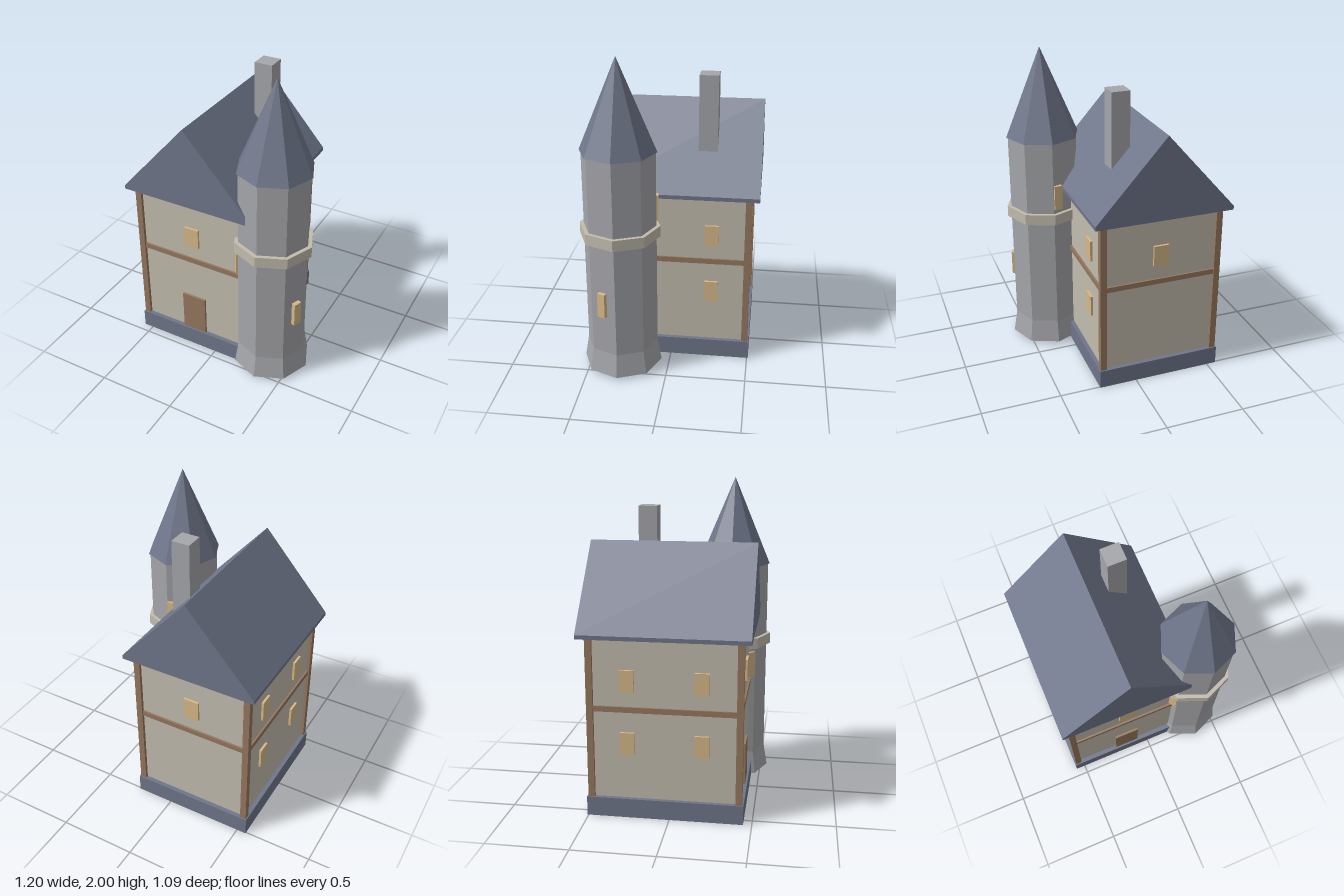
import * as THREE from 'three';

const material = (name, color) => {
  const m = new THREE.MeshStandardMaterial({ color, flatShading: true });
  m.name = name;
  return m;
};

export function createModel() {
  const plaster = material('plaster', 0xc2bcae);
  const slate = material('slate', 0x6f768a);
  const wood = material('wood', 0x96785f);
  const glow = material('windowGlow', 0xd6b888);
  const stone = material('stone', 0xa5a6aa);

  const model = new THREE.Group();
  model.name = 'towerHouse';

  const add = (parent, name, geometry, mat, x = 0, y = 0, z = 0) => {
    const mesh = new THREE.Mesh(geometry, mat);
    mesh.name = name;
    mesh.position.set(x, y, z);
    parent.add(mesh);
    return mesh;
  };
  const box = (parent, name, mat, w, h, d, x, y, z) =>
    add(parent, name, new THREE.BoxGeometry(w, h, d), mat, x, y, z);

  // House, centred on its own origin
  const house = new THREE.Group();
  house.name = 'house';
  house.position.set(-0.16, 0, -0.03);
  model.add(house);
  const hx = 0.375, hz = 0.45; // half size of the walls

  box(house, 'plinth', slate, 0.804, 0.12, 0.956, 0, 0.06, 0);
  box(house, 'walls', plaster, hx * 2, 1.0, hz * 2, 0, 0.62, 0);

  // Timber frame: corner posts and a beam on each side
  for (const sx of [-1, 1]) {
    for (const sz of [-1, 1]) {
      box(house, 'cornerPost', wood, 0.04, 1.0, 0.04, sx * hx, 0.62, sz * hz);
    }
  }
  for (const s of [-1, 1]) {
    box(house, 'beam', wood, hx * 2, 0.034, 0.024, 0, 0.685, s * hz);
    box(house, 'beam', wood, 0.024, 0.034, hz * 2, s * hx, 0.685, 0);
  }

  // Door and house windows
  box(house, 'door', wood, 0.165, 0.27, 0.03, 0, 0.255, hz);
  for (const s of [-1, 1]) {
    box(house, 'window', glow, 0.1, 0.136, 0.03, 0, 0.861, s * hz);
    for (const z of [-0.225, 0.225]) {
      for (const y of [0.473, 0.861]) {
        box(house, 'window', glow, 0.03, 0.136, 0.088, s * hx, y, z);
      }
    }
  }

  // Gable roof with a low vertical eave
  const gable = new THREE.Shape([
    [-0.44, 1.12], [0.44, 1.12], [0.44, 1.145], [0, 1.642], [-0.44, 1.145],
  ].map(([x, y]) => new THREE.Vector2(x, y)));
  const roof = new THREE.ExtrudeGeometry(gable, { depth: 1.026, bevelEnabled: false });
  add(house, 'roof', roof, slate, 0, 0, -0.515);
  box(house, 'chimney', stone, 0.117, 0.64, 0.117, 0.185, 1.52, -0.183);

  // Octagonal stair tower
  const tower = new THREE.Group();
  tower.name = 'tower';
  tower.position.set(0.345, 0, 0.297);
  model.add(tower);
  const octagon = (name, mat, top, bottom, y0, y1) =>
    add(tower, name, new THREE.CylinderGeometry(top, bottom, y1 - y0, 8), mat, 0, (y0 + y1) / 2, 0);
  octagon('towerFoot', stone, 0.225, 0.25, 0.02, 0.17);
  octagon('towerShaft', stone, 0.225, 0.225, 0.17, 1.44);
  octagon('towerBand', plaster, 0.25, 0.25, 0.9, 0.97);
  octagon('towerSpire', slate, 0, 0.235, 1.44, 2.0);

  // Windows climbing round the tower, a third of a turn apart
  for (let i = 0; i < 3; i++) {
    const a = THREE.MathUtils.degToRad(22.5 + 120 * i);
    const w = box(tower, 'towerWindow', glow, 0.03, 0.16, 0.052,
      Math.cos(a) * 0.22, 0.511 + 0.285 * i, Math.sin(a) * 0.22);
    w.rotation.y = -a;
  }
  return model;
}
